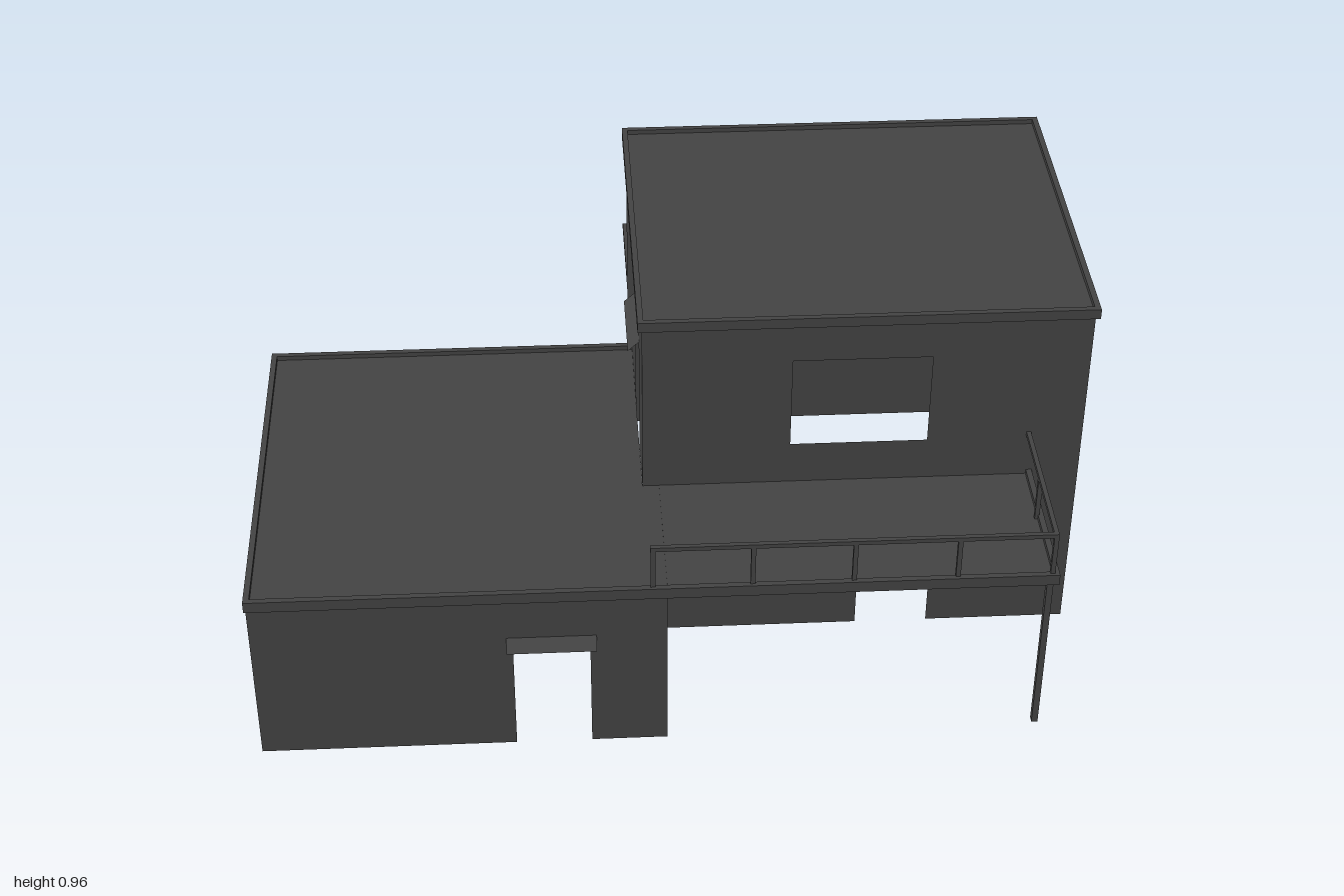
import * as THREE from 'three';

const mat = new THREE.MeshStandardMaterial({ color: 0x444444, side: THREE.DoubleSide });

export function createModel() {
  const root = new THREE.Group();
  root.name = 'house';

  const group = (name) => {
    const g = new THREE.Group();
    g.name = name;
    root.add(g);
    return g;
  };
  const add = (parent, name, geo) => {
    const m = new THREE.Mesh(geo, mat);
    m.name = name;
    parent.add(m);
    return m;
  };
  // Box given by its limits on each axis
  const block = (parent, name, x0, x1, y0, y1, z0, z1) => {
    const m = add(parent, name, new THREE.BoxGeometry(x1 - x0, y1 - y0, z1 - z0));
    m.position.set((x0 + x1) / 2, (y0 + y1) / 2, (z0 + z1) / 2);
    return m;
  };
  // Square bar between two points
  const bar = (parent, name, a, b, t = 0.011) => {
    const p = new THREE.Vector3(...a), q = new THREE.Vector3(...b);
    const m = add(parent, name, new THREE.BoxGeometry(t, t, p.distanceTo(q)));
    m.position.copy(p).add(q).multiplyScalar(0.5);
    m.lookAt(q);
    return m;
  };
  // Thin wall along x (at = z) or along z (at = x), with rectangular openings [a0, a1, y0, y1]
  const wall = (parent, name, axis, at, a0, a1, y0, y1, openings = []) => {
    const s = new THREE.Shape().moveTo(a0, y0);
    for (const [l, r, b, t] of openings) {
      // A door reaching the wall's foot becomes a notch in the outline
      if (b <= y0) s.lineTo(l, y0).lineTo(l, t).lineTo(r, t).lineTo(r, y0);
      else s.holes.push(new THREE.Path().moveTo(l, b).lineTo(r, b).lineTo(r, t).lineTo(l, t).closePath());
    }
    s.lineTo(a1, y0).lineTo(a1, y1).lineTo(a0, y1).closePath();
    const geo = new THREE.ShapeGeometry(s);
    if (axis === 'z') geo.rotateY(-Math.PI / 2).translate(at, 0, 0);
    else geo.translate(0, 0, at);
    return add(parent, name, geo);
  };

  const BASE = 0.013, FLOOR = 0.475, TOP = 0.945, DOOR = 0.298;

  // Single-storey wing
  const wing = group('wing');
  wall(wing, 'wingFrontWall', 'x', 0.938, -0.996, -0.03, BASE, FLOOR, [[-0.39, -0.21, BASE, DOOR]]);
  wall(wing, 'wingBackWall', 'x', -0.025, -0.996, -0.07, BASE, FLOOR, [[-0.83, -0.65, BASE, DOOR]]);
  wall(wing, 'wingRightWall', 'z', -0.996, -0.025, 0.938, BASE, FLOOR);
  wall(wing, 'wingLeftWall', 'z', -0.03, 0.55, 0.938, BASE, FLOOR);
  block(wing, 'wingRoof', -0.996, -0.07, 0.46, 0.473, -0.025, 0.938);

  // Roof deck over the front entrance
  const deck = group('frontDeck');
  block(deck, 'deckSlab', -0.07, 0.868, 0.46, 0.473, 0.55, 0.938);
  block(deck, 'deckPost', 0.85, 0.865, BASE, 0.46, 0.918, 0.934);

  // Edging round the wing roof and the deck
  const rim = group('lowerRoofEdge');
  const [e0, e1] = [0.456, 0.485];
  block(rim, 'frontEdge', -1, 0.876, e0, e1, 0.931, 0.945);
  block(rim, 'backEdge', -1, -0.07, e0, e1, -0.03, -0.016);
  block(rim, 'rightEdge', -1, -0.986, e0, e1, -0.016, 0.931);
  block(rim, 'deckLeftEdge', 0.862, 0.876, e0, e1, 0.55, 0.931);

  // Two-storey main block, open inside from ground to roof
  const main = group('mainBlock');
  wall(main, 'lowerFrontWall', 'x', 0.55, -0.07, 0.99, BASE, FLOOR, [[0.465, 0.645, BASE, DOOR]]);
  wall(main, 'lowerBackWall', 'x', -0.315, -0.07, 0.99, BASE, FLOOR);
  wall(main, 'lowerLeftWall', 'z', 0.99, -0.315, 0.55, BASE, FLOOR);
  wall(main, 'lowerRightWall', 'z', -0.07, -0.315, -0.025, BASE, FLOOR);
  wall(main, 'upperFrontWall', 'x', 0.55, -0.07, 0.99, FLOOR, TOP, [[0.285, 0.615, 0.586, 0.831]]);
  wall(main, 'upperBackWall', 'x', -0.315, -0.07, 0.99, FLOOR, TOP, [[0.075, 0.255, FLOOR, 0.765]]);
  wall(main, 'upperLeftWall', 'z', 0.99, -0.315, 0.55, FLOOR, TOP, [[-0.173, 0.157, 0.586, 0.831]]);
  wall(main, 'upperRightWall', 'z', -0.07, -0.315, 0.55, FLOOR, TOP, [[0.225, 0.405, FLOOR, 0.765]]);
  block(main, 'upperRoof', -0.07, 0.99, 0.932, TOP, -0.315, 0.55);
  for (const z of [-0.325, 0.544]) block(main, 'upperRoofEdge', -0.08, 1, 0.931, 0.957, z, z + 0.014);
  for (const x of [-0.08, 0.986]) block(main, 'upperRoofEdge', x, x + 0.014, 0.931, 0.957, -0.311, 0.544);

  // Thin sloping canopies above the doors
  const canopies = group('doorCanopies');
  const canopy = (x, y, z, turn) => {
    const geo = new THREE.PlaneGeometry(0.21, Math.hypot(0.025, 0.028));
    geo.rotateX(-Math.atan2(0.028, 0.025)).translate(0, 0.0125, 0.014);
    const m = add(canopies, 'canopy', geo);
    m.position.set(x, y, z);
    m.rotation.y = turn;
  };
  canopy(-0.3, 0.32, 0.938, 0);
  canopy(0.555, 0.32, 0.55, 0);
  canopy(-0.74, 0.32, -0.025, Math.PI);
  canopy(0.163, 0.782, -0.315, Math.PI);
  canopy(-0.07, 0.782, 0.315, -Math.PI / 2);

  // Deck railing
  const railing = group('deckRailing');
  const railY = 0.595;
  bar(railing, 'frontRail', [-0.07, railY, 0.932], [0.865, railY, 0.932]);
  bar(railing, 'sideRail', [0.86, railY, 0.932], [0.86, railY, 0.55]);
  for (const x of [-0.064, 0.166, 0.4, 0.64, 0.86]) bar(railing, 'railPost', [x, 0.473, 0.932], [x, railY, 0.932]);
  bar(railing, 'railPost', [0.86, 0.473, 0.72], [0.86, railY, 0.72]);

  // Sloping slab: side outline of a flight swept across its width
  const flight = (parent, name, from, to, thick, width) => {
    const s = new THREE.Shape().moveTo(...from).lineTo(...to)
      .lineTo(to[0], Math.max(0, to[1] - thick)).lineTo(from[0], from[1] - thick).closePath();
    return add(parent, name, new THREE.ExtrudeGeometry(s, { depth: width, bevelEnabled: false }));
  };

  // Rear landings and the flight joining them
  const rear = group('rearStairs');
  block(rear, 'upperLanding', -0.07, 0.365, 0.462, 0.48, -0.61, -0.315);
  block(rear, 'lowerLanding', 0.666, 0.99, 0.241, 0.258, -0.61, -0.315);
  block(rear, 'landingLip', 0.71, 0.975, 0.241, 0.258, -0.64, -0.61);
  flight(rear, 'upperFlight', [0.365, 0.48], [0.666, 0.258], 0.017, 0.295).position.z = -0.61;

  // Lower flight running away from the house
  const low = flight(rear, 'lowerFlight', [0.64, 0.258], [0.955, 0.012], 0.02, 0.265);
  low.rotation.y = Math.PI / 2;
  low.position.x = 0.71;

  // Upper flight handrail
  const zr = -0.604;
  bar(rear, 'handrail', [0.365, railY, zr], [0.666, 0.372, zr]);
  bar(rear, 'handrail', [0.666, 0.372, zr], [0.705, 0.372, zr]);
  for (const [x, y] of [[0.365, 0.468], [0.515, 0.357], [0.666, 0.247]])
    bar(rear, 'handrailPost', [x, y, zr], [x, y + 0.126, zr]);

  // Lower flight handrails, legs and braces on both sides
  for (const x of [0.706, 0.981]) {
    bar(rear, 'handrail', [x, 0.372, -0.605], [x, 0.372, -0.645]);
    bar(rear, 'handrail', [x, 0.372, -0.645], [x, 0.125, -0.965]);
    for (const [z, y] of [[-0.605, 0.248], [-0.785, 0.14], [-0.945, 0.015]])
      bar(rear, 'handrailPost', [x, y, z], [x, y + 0.123, z]);
    bar(rear, 'stairLeg', [x, 0, -0.615], [x, 0.248, -0.615], 0.018);
    bar(rear, 'stairBrace', [x, 0.062, -0.615], [x, 0.125, -0.8], 0.014);
  }

  return root;
}
